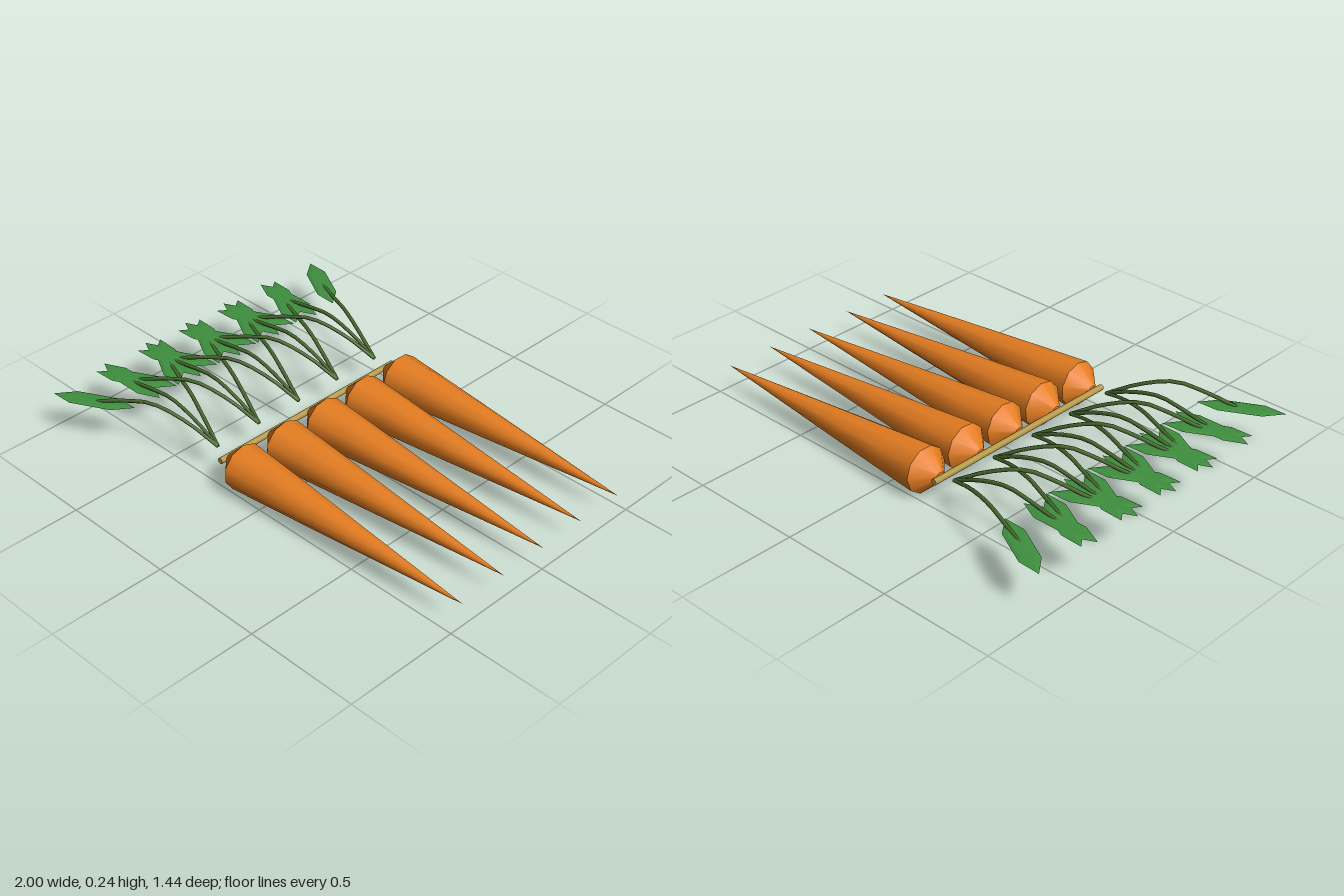
import * as THREE from 'three';
import { toCreasedNormals } from 'three/addons/utils/BufferGeometryUtils.js';

const material = (name, color, extra = {}) =>
  new THREE.MeshStandardMaterial({ name, color, ...extra });

export function createModel() {
  const orange = material('carrot orange', 0xe67e22);
  const leafGreen = material('leaf green', 0x3f8f3f, { flatShading: true });
  const stemGreen = material('stem green', 0x4a6b2f, { side: THREE.DoubleSide });
  const tan = material('rod tan', 0xb89a4a);

  const model = new THREE.Group();
  model.name = 'carrotRow';
  const add = (parent, name, geometry, mat) => {
    const mesh = new THREE.Mesh(geometry, mat);
    mesh.name = name;
    parent.add(mesh);
    return mesh;
  };

  // Root profile (radius, distance along x), from blunt crown to tip
  const profile = [
    [0, -0.227], [0.022, -0.227], [0.1, -0.15], [0.086, 0.02],
    [0.062, 0.3], [0.034, 0.62], [0, 1],
  ].map(([r, x]) => new THREE.Vector2(r, x));
  const rootGeometry = toCreasedNormals(new THREE.LatheGeometry(profile, 10), 0.72);
  rootGeometry.rotateZ(-Math.PI / 2);

  // Flat six-sided leaf blade
  const leafGeometry = new THREE.SphereGeometry(1, 6, 4);
  leafGeometry.scale(0.176, 0.007, 0.049);

  // Arching stem: side is -1, 0 or 1, higher toward +z
  const stemGeometry = (side) => {
    const peak = 0.215 + 0.025 * side;
    const path = new THREE.CatmullRomCurve3([
      new THREE.Vector3(-0.3, 0.12, 0),
      new THREE.Vector3(-0.43, 0.12 + (peak - 0.12) * 0.63, 0.046 * side),
      new THREE.Vector3(-0.57, peak, 0.1 * side),
      new THREE.Vector3(-0.68, 0.18 + (peak - 0.18) * 0.68, 0.142 * side),
      new THREE.Vector3(-0.81, 0.18, 0.192 * side),
    ]);
    return new THREE.TubeGeometry(path, 10, 0.008, 6);
  };
  const sides = [-1, 0, 1];
  const stems = sides.map(stemGeometry);

  // Five carrots side by side, each with three leafy stems
  for (let i = 0; i < 5; i++) {
    const carrot = new THREE.Group();
    carrot.name = 'carrot' + (i + 1);
    carrot.position.z = (i - 2) * 0.22;
    model.add(carrot);

    const root = add(carrot, 'root', rootGeometry, orange);
    root.position.y = 0.102;
    root.rotation.x = i * 0.7;

    sides.forEach((side, k) => {
      add(carrot, 'stem', stems[k], stemGreen);
      const leaf = add(carrot, 'leaf', leafGeometry, leafGreen);
      leaf.position.set(side ? -0.82 : -0.824, 0.18, 0.198 * side);
      leaf.rotation.y = 0.49 * side;
    });
  }

  // Rod across the crowns
  const rod = add(model, 'rod', new THREE.CylinderGeometry(0.013, 0.013, 0.97, 8), tan);
  rod.rotation.x = Math.PI / 2;
  rod.position.set(-0.237, 0.104, 0);

  return model;
}
